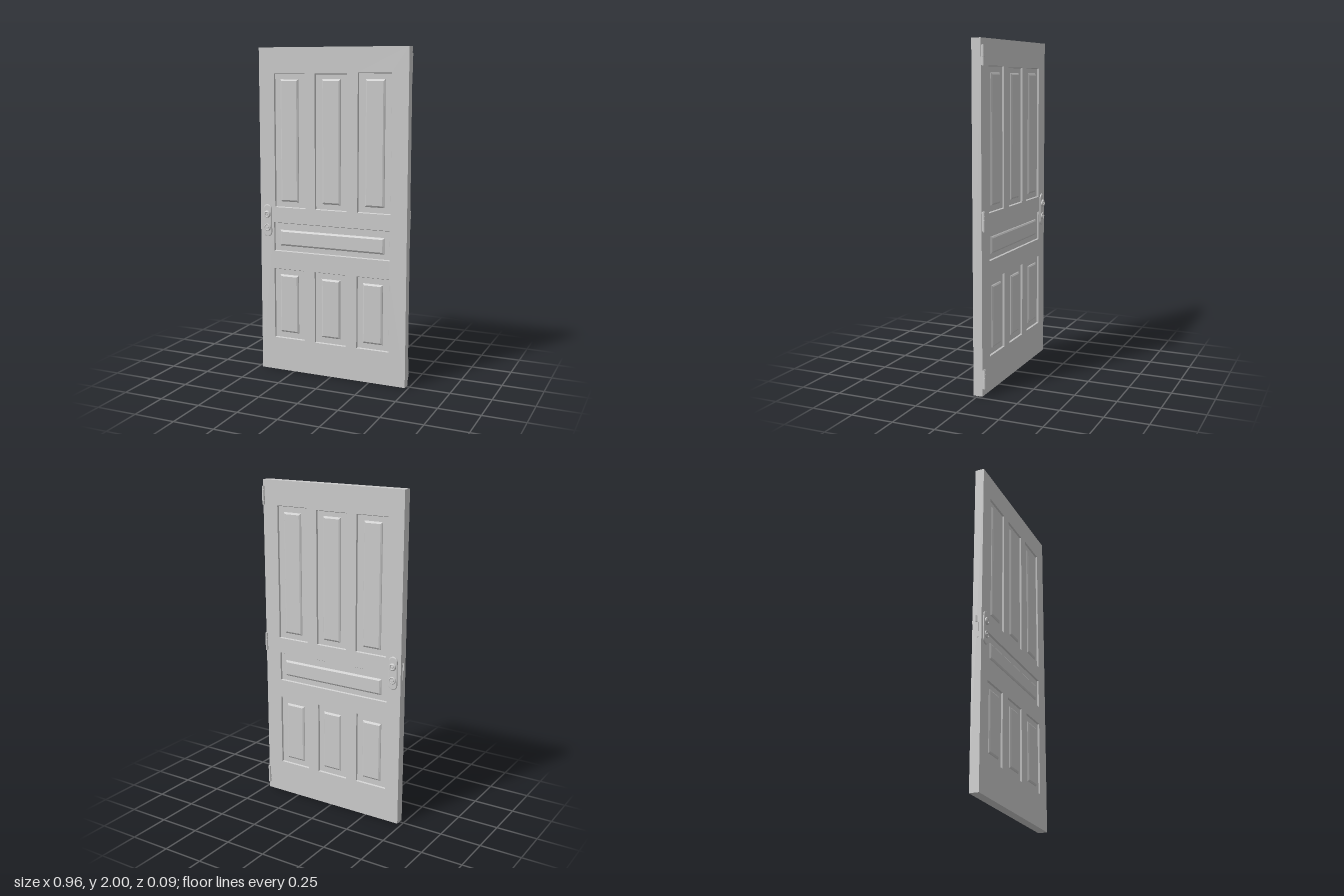
import * as THREE from 'three';

const material = new THREE.MeshStandardMaterial({ color: 0xcccccc, flatShading: true });
const smooth = new THREE.MeshStandardMaterial({ color: 0xcccccc });
const LEFT = -0.473, RIGHT = 0.479, BACK = -0.029, FRONT = 0.027;
const LOCK_X = -0.424;

// Slightly uneven recesses: [left, right, bottom, top] of the recess and of the raised field
const PANELS = [
  { outer: [-0.373, -0.169, 1.037, 1.846], field: [-0.335, -0.215, 1.074, 1.812] },
  { outer: [-0.105, 0.102, 1.037, 1.846], field: [-0.061, 0.059, 1.073, 1.815] },
  { outer: [0.169, 0.378, 1.037, 1.853], field: [0.214, 0.336, 1.074, 1.816] },
  { outer: [-0.382, 0.375, 0.763, 0.942], field: [-0.343, 0.339, 0.798, 0.897] },
  { outer: [-0.383, -0.179, 0.208, 0.652], field: [-0.346, -0.22, 0.247, 0.616] },
  { outer: [-0.108, 0.095, 0.205, 0.652], field: [-0.066, 0.058, 0.245, 0.613] },
  { outer: [0.167, 0.375, 0.206, 0.652], field: [0.204, 0.332, 0.243, 0.613] },
];

function add(parent, name, geometry, mat = material) {
  const mesh = new THREE.Mesh(geometry, mat);
  mesh.name = name;
  parent.add(mesh);
  return mesh;
}

// Rectangle corners, counter-clockwise, pulled in by an inset
function corners([l, r, b, t], inset = 0) {
  return [[l + inset, b + inset], [r - inset, b + inset], [r - inset, t - inset], [l + inset, t - inset]];
}

// Recess wall, floor, bevel and raised field, as nested four-sided rings; z is depth from the face
function panelGeometry({ outer, field }) {
  const rings = [
    [corners(outer), 0],
    [corners(outer, 0.004), -0.01],
    [corners(field), -0.01],
    [corners(field, 0.003), -0.006],
    [corners(field, 0.011), -0.001],
  ];
  const positions = rings.flatMap(([pts, z]) => pts.flatMap(([x, y]) => [x, y, z]));
  const index = [];
  for (let k = 0; k < rings.length - 1; k++) {
    for (let i = 0; i < 4; i++) {
      const a = k * 4 + i, b = k * 4 + (i + 1) % 4;
      index.push(a, b, b + 4, a, b + 4, a + 4);
    }
  }
  const c = (rings.length - 1) * 4;
  index.push(c, c + 1, c + 2, c, c + 2, c + 3);
  const g = new THREE.BufferGeometry();
  g.setAttribute('position', new THREE.Float32BufferAttribute(positions, 3));
  g.setIndex(index);
  const flat = g.toNonIndexed();
  flat.computeVertexNormals();
  return flat;
}

// Upright stadium outline around the origin
function stadium(radius, halfLength) {
  const s = new THREE.Shape();
  s.absarc(0, halfLength - radius, radius, 0, Math.PI);
  s.absarc(0, radius - halfLength, radius, Math.PI, Math.PI * 2);
  s.closePath();
  return s;
}

// Turned part whose axis points along +z; points are [radius, z]
function turned(points) {
  return new THREE.LatheGeometry(points.map(([r, z]) => new THREE.Vector2(r, z)), 28).rotateX(Math.PI / 2);
}

// Lock plate with two round cylinders, sitting on the z = 0 plane
function lockSet(name) {
  const lock = new THREE.Group();
  lock.name = name;
  add(lock, 'lockPlate', new THREE.ExtrudeGeometry(stadium(0.022, 0.094), {
    depth: 0.004, bevelThickness: 0.004, bevelSize: 0.006, bevelSegments: 3, curveSegments: 14,
  }));

  // Upper rosette with a key plug
  const upper = add(lock, 'upperRosette', turned([
    [0.022, 0.006], [0.022, 0.013], [0.02, 0.017], [0.016, 0.019], [0.013, 0.018], [0.012, 0.013], [0, 0.013],
  ]));
  upper.position.y = 0.04;
  const plug = add(lock, 'keyPlug', turned([[0.008, 0.012], [0.008, 0.017], [0.007, 0.018], [0, 0.018]]));
  plug.position.y = 0.04;

  // Lower rosette with a small turn piece
  const lower = add(lock, 'lowerRosette', turned([
    [0.022, 0.006], [0.022, 0.011], [0.02, 0.014], [0.017, 0.015], [0.015, 0.012], [0, 0.012],
  ]));
  lower.position.y = -0.042;
  const turn = add(lock, 'turnPiece', new THREE.BoxGeometry(0.022, 0.007, 0.008));
  turn.position.set(0, -0.042, 0.015);
  return lock;
}

// Knuckled hinge barrel with end caps and a narrow leaf against the door
function hinge(name) {
  const group = new THREE.Group();
  group.name = name;
  for (let i = 0; i < 5; i++) {
    const knuckle = add(group, 'hingeKnuckle', new THREE.CylinderGeometry(0.0078, 0.0078, 0.0208, 16), smooth);
    knuckle.position.y = (i - 2) * 0.0216;
  }
  add(group, 'hingePin', new THREE.CylinderGeometry(0.0055, 0.0055, 0.114, 12), smooth);
  const leaf = add(group, 'hingeLeaf', new THREE.BoxGeometry(0.003, 0.108, 0.014));
  leaf.position.set(0.004, 0, 0.006);
  return group;
}

export function createModel() {
  const door = new THREE.Group();
  door.name = 'door';

  // Slab with an opening for every panel
  const outline = new THREE.Shape(corners([LEFT, RIGHT, 0, 2]).map(([x, y]) => new THREE.Vector2(x, y)));
  for (const { outer } of PANELS) {
    outline.holes.push(new THREE.Path(corners(outer).reverse().map(([x, y]) => new THREE.Vector2(x, y))));
  }
  const slab = add(door, 'slab', new THREE.ExtrudeGeometry(outline, { depth: FRONT - BACK, bevelEnabled: false }));
  slab.position.z = BACK;

  // Raised panels on both faces
  for (const panel of PANELS) {
    const [l, r] = panel.outer, [fl, fr] = panel.field;
    add(door, 'frontPanel', panelGeometry(panel)).position.z = FRONT;
    const mirrored = {
      outer: [-r, -l, ...panel.outer.slice(2)],
      field: [-fr, -fl, ...panel.field.slice(2)],
    };
    const back = add(door, 'backPanel', panelGeometry(mirrored));
    back.rotation.y = Math.PI;
    back.position.z = BACK;
  }

  // Lock sets on both faces
  const frontLock = lockSet('frontLock');
  frontLock.position.set(LOCK_X, 0.951, FRONT);
  const backLock = lockSet('backLock');
  backLock.position.set(LOCK_X, 0.951, BACK);
  backLock.rotation.y = Math.PI;
  door.add(frontLock, backLock);

  // Edge plate and wedge-shaped latch bolt
  const plate = add(door, 'edgePlate', new THREE.ExtrudeGeometry(stadium(0.012, 0.07), {
    depth: 0.003, bevelEnabled: false,
  }));
  plate.rotation.y = -Math.PI / 2;
  plate.position.set(LEFT + 0.001, 0.945, -0.001);
  const wedge = new THREE.Shape([[0, -0.008], [0, 0.008], [-0.009, 0.006]].map(([x, y]) => new THREE.Vector2(x, y)));
  const latch = add(door, 'latchBolt', new THREE.ExtrudeGeometry(wedge, { depth: 0.04, bevelEnabled: false }));
  latch.rotation.x = -Math.PI / 2;
  latch.position.set(LEFT, 0.97, -0.001);

  // Three hinges along the back edge
  [['lowerHinge', 0.1], ['middleHinge', 1.003], ['upperHinge', 1.908]].forEach(([name, y]) => {
    const h = hinge(name);
    h.position.set(0.471, y, -0.0385);
    door.add(h);
  });
  return door;
}
